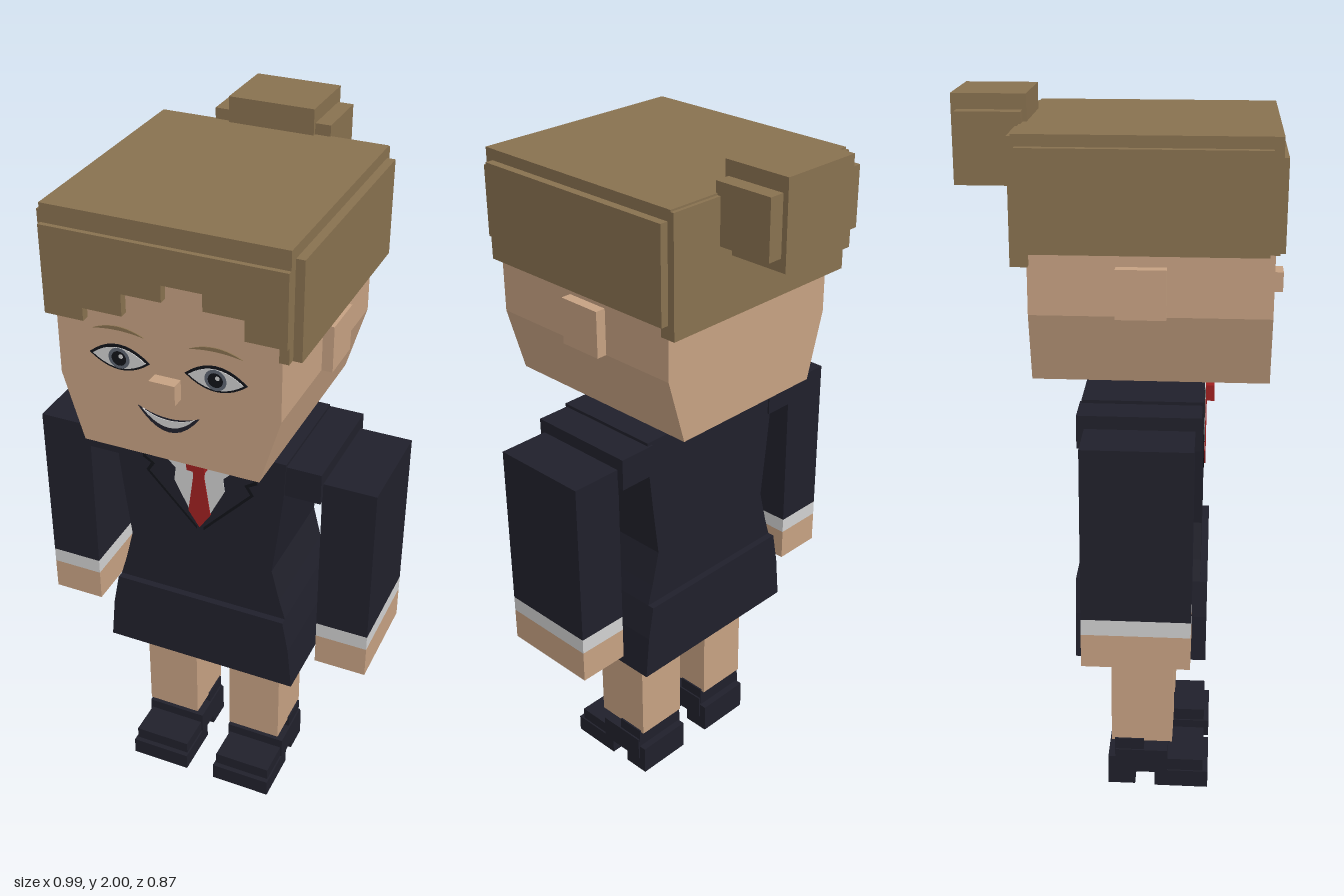
import * as THREE from 'three';

const mat = (name, color) => {
  const m = new THREE.MeshStandardMaterial({ color });
  m.name = name;
  return m;
};

export function createModel() {
  const skin = mat('skin', 0xc6a182);
  const hair = mat('hair', 0x88714f);
  const suit = mat('navy suit', 0x20202b);
  const line = mat('dark outline', 0x111319);
  const white = mat('white cloth', 0xd0d0d0);
  const red = mat('red tie', 0xa02020);
  const iris = mat('iris', 0x5d6470);

  const root = new THREE.Group();
  root.name = 'woman';
  const group = (name) => {
    const g = new THREE.Group();
    g.name = name;
    root.add(g);
    return g;
  };
  const add = (parent, name, geometry, material) => {
    const m = new THREE.Mesh(geometry, material);
    m.name = name;
    parent.add(m);
    return m;
  };
  // box from its lowest and highest coordinates
  const box = (parent, name, material, [x0, x1], [y0, y1], [z0, z1]) => {
    const g = new THREE.BoxGeometry(Math.abs(x1 - x0), y1 - y0, z1 - z0);
    g.translate((x0 + x1) / 2, (y0 + y1) / 2, (z0 + z1) / 2);
    return add(parent, name, g, material);
  };
  // front outline pushed from z0 to z1
  const slab = (parent, name, material, shape, z0, z1) => {
    const g = new THREE.ExtrudeGeometry(shape, { depth: z1 - z0, bevelEnabled: false, curveSegments: 10 });
    g.translate(0, 0, z0);
    return add(parent, name, g, material);
  };
  const outline = (points) => new THREE.Shape(points.map(([x, y]) => new THREE.Vector2(x, y)));
  // symmetric outline from its right-hand half, top to bottom
  const mirrored = (half) => outline([...half, ...half.map(([x, y]) => [-x, y]).reverse()]);
  // lens or crescent between two bowed edges
  const lens = (cx, cy, w, up, down) => {
    const s = new THREE.Shape();
    s.moveTo(cx - w, cy);
    s.quadraticCurveTo(cx, cy + down * 2, cx + w, cy);
    s.quadraticCurveTo(cx, cy + up * 2, cx - w, cy);
    return s;
  };
  const disc = (cx, cy, r) => {
    const s = new THREE.Shape();
    s.absarc(cx, cy, r, 0, Math.PI * 2);
    return s;
  };

  // head and neck
  const head = group('head');
  slab(head, 'skull', skin, mirrored([[0.3, 1.88], [0.3, 1.47], [0.245, 1.28]]), -0.225, 0.4);
  box(head, 'neck', skin, [-0.08, 0.08], [1.2, 1.3], [-0.015, 0.155]);
  box(head, 'nose', skin, [-0.035, 0.035], [1.47, 1.525], [0.39, 0.435]);

  // face painting
  const face = group('face');
  for (const s of [-1, 1]) {
    box(head, 'ear', skin, [s * 0.29, s * 0.33], [1.47, 1.6], [0, 0.13]);
    const x = s * 0.13;
    slab(face, 'eyeOutline', line, lens(x, 1.55, 0.083, 0.037, -0.034), 0.4, 0.402);
    slab(face, 'eyeWhite', white, lens(x, 1.55, 0.073, 0.029, -0.028), 0.4, 0.404);
    slab(face, 'iris', iris, disc(x, 1.55, 0.029), 0.4, 0.405);
    slab(face, 'pupil', line, disc(x, 1.55, 0.02), 0.4, 0.406);
    slab(face, 'eyeGlint', white, disc(x + 0.006, 1.557, 0.006), 0.4, 0.407);
    slab(face, 'eyebrow', hair, lens(x, 1.62, 0.07, 0.017, 0.007), 0.4, 0.403);
  }
  slab(face, 'mouth', suit, lens(0, 1.425, 0.085, -0.02, -0.06), 0.4, 0.402);
  slab(face, 'teeth', white, lens(0, 1.42, 0.072, -0.019, -0.04), 0.4, 0.404);

  // hair: cap, back, sides, stepped fringe and bun
  const hairdo = group('hair');
  box(hairdo, 'crown', hair, [-0.32, 0.32], [1.87, 1.93], [-0.255, 0.41]);
  box(hairdo, 'backHair', hair, [-0.32, 0.32], [1.6, 1.925], [-0.265, -0.22]);
  for (const s of [-1, 1]) {
    box(hairdo, 'sideHair', hair, [s * 0.295, s * 0.32], [1.64, 1.9], [-0.25, 0.41]);
    box(hairdo, 'sidePanel', hair, [s * 0.315, s * 0.343], [1.638, 1.9], [-0.245, 0.385]);
  }
  const fringe = [[0.32, 1.88], [-0.32, 1.88]];
  [1.645, 1.68, 1.74, 1.785, 1.74, 1.685].forEach((y, i) => {
    fringe.push([-0.32 + i * 0.1067, y], [-0.32 + (i + 1) * 0.1067, y]);
  });
  slab(hairdo, 'fringe', hair, outline(fringe), 0.395, 0.423);
  box(hairdo, 'bun', hair, [-0.12, 0.12], [1.765, 2], [-0.435, -0.24]);
  box(hairdo, 'bunSides', hair, [-0.163, 0.163], [1.8, 1.96], [-0.42, -0.25]);

  // jacket and skirt
  const clothes = group('clothes');
  slab(clothes, 'jacket', suit, mirrored([
    [0.25, 1.225], [0.245, 1.12], [0.232, 1], [0.215, 0.86], [0.24, 0.76], [0.258, 0.7],
  ]), -0.095, 0.23);
  slab(clothes, 'skirt', suit, mirrored([[0.258, 0.7], [0.277, 0.6], [0.29, 0.47]]), -0.115, 0.25);

  // shirt, lapels and tie
  slab(clothes, 'shirt', white, mirrored([
    [0.122, 1.222], [0.1, 1.16], [0.07, 1.13], [0.075, 1.09], [0.03, 1.0], [0, 0.965],
  ]), 0.229, 0.233);
  for (const s of [-1, 1]) {
    slab(clothes, 'lapelEdge', line, outline([
      [0.145, 1.222], [0.17, 1.14], [0.145, 1.125], [0.16, 1.1], [0.01, 0.94],
      [0.01, 0.95], [0.15, 1.1], [0.133, 1.127], [0.16, 1.145], [0.137, 1.222],
    ].map(([x, y]) => [s * x, y])), 0.229, 0.232);
  }
  slab(clothes, 'tie', red, mirrored([
    [0.024, 1.195], [0.016, 1.12], [0.033, 1.0], [0, 0.95],
  ]), 0.229, 0.236);
  box(clothes, 'tieKnot', red, [-0.026, 0.026], [1.15, 1.195], [0.23, 0.257]);

  // arms, legs and heeled shoes
  for (const s of [-1, 1]) {
    const side = s > 0 ? 'left' : 'right';
    const arm = group(side + 'Arm');
    const armX = [s * 0.345, s * 0.495], armZ = [-0.08, 0.21];
    box(arm, 'shoulder', suit, [s * 0.235, s * 0.347], [1.125, 1.216], [-0.1, 0.226]);
    box(arm, 'sleeve', suit, armX, [0.7, 1.18], armZ);
    box(arm, 'cuff', white, armX, [0.655, 0.7], armZ);
    box(arm, 'hand', skin, armX, [0.56, 0.655], armZ);

    const leg = group(side + 'Leg');
    box(leg, 'shin', skin, [s * 0.055, s * 0.217], [0.148, 0.48], [-0.02, 0.158]);
    const shoeX = [s * 0.045, s * 0.227], upperX = [s * 0.05, s * 0.222];
    box(leg, 'sole', suit, shoeX, [0, 0.053], [0.108, 0.265]);
    box(leg, 'toe', suit, upperX, [0.05, 0.09], [0.1, 0.25]);
    box(leg, 'instep', suit, shoeX, [0.045, 0.12], [-0.008, 0.145]);
    box(leg, 'ankleStrap', suit, upperX, [0.1, 0.155], [-0.01, 0.075]);
    box(leg, 'heel', suit, upperX, [0, 0.092], [-0.03, 0.05]);
  }
  return root;
}
